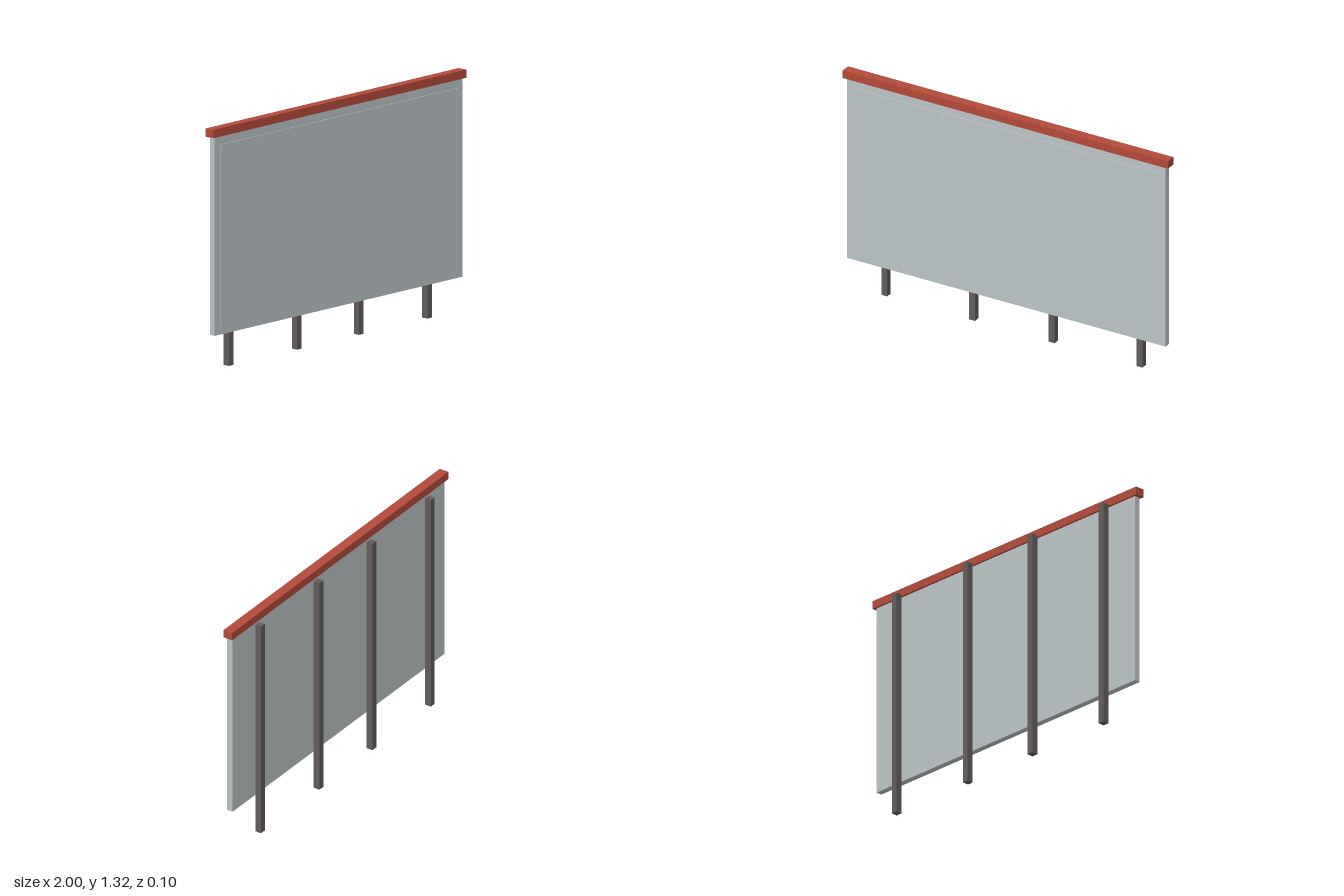
import * as THREE from 'three';

export function createModel() {
  const model = new THREE.Group();
  const mats = {
    panelGrey: new THREE.MeshStandardMaterial({ name: 'panelGrey', color: 0xbcc4c6 }),
    trimRed: new THREE.MeshStandardMaterial({ name: 'trimRed', color: 0xb44a38 }),
    postGrey: new THREE.MeshStandardMaterial({ name: 'postGrey', color: 0x625c5c }),
  };

  // Box from its min and max corners
  const addBox = (name, mat, [x0, y0, z0], [x1, y1, z1]) => {
    const mesh = new THREE.Mesh(new THREE.BoxGeometry(x1 - x0, y1 - y0, z1 - z0), mat);
    mesh.position.set((x0 + x1) / 2, (y0 + y1) / 2, (z0 + z1) / 2);
    mesh.name = name;
    model.add(mesh);
  };

  // Display board with a thin raised sheet on its front
  addBox('board', mats.panelGrey, [-0.98, 0.2, 0.008], [0.98, 1.275, 0.043]);
  addBox('frontSheet', mats.panelGrey, [-0.935, 0.245, 0.043], [0.935, 1.228, 0.048]);

  // Top rail
  addBox('topRail', mats.trimRed, [-1, 1.274, -0.003], [1, 1.319, 0.052]);

  // Four posts behind the board
  for (const x of [-0.785, -0.245, 0.245, 0.785]) {
    addBox('post', mats.postGrey, [x - 0.018, 0, -0.052], [x + 0.018, 1.275, -0.015]);
  }
  return model;
}
